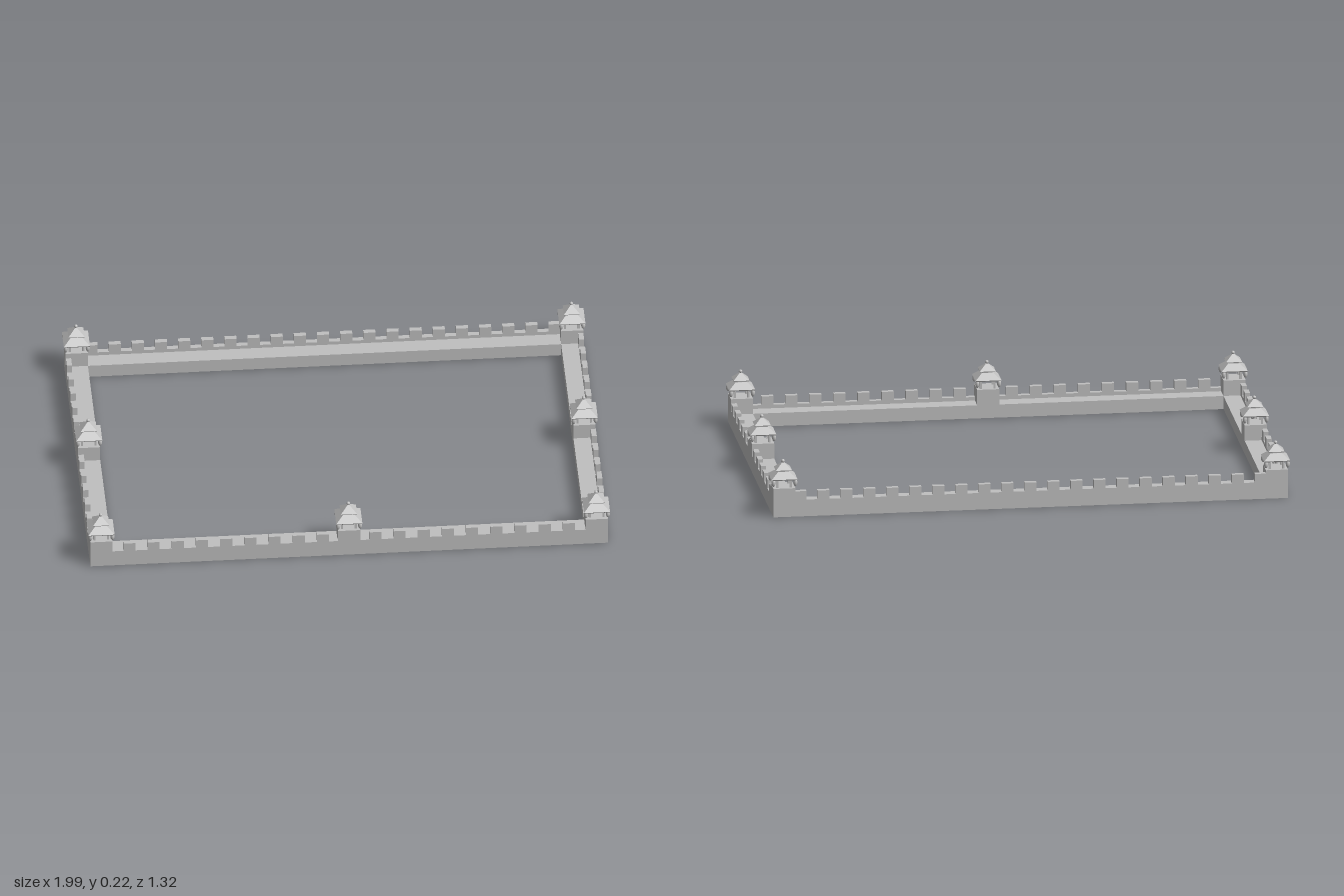
import * as THREE from 'three';

const X = 0.947, Z = 0.609;   // wall centre lines
const W = 0.085;              // wall thickness
const WALK = 0.052, SILL = 0.066, TOP = 0.1, BLOCK = 0.113;
const PARAPET = 0.02, MERLON = 0.046;

export function createModel() {
  const stone = new THREE.MeshStandardMaterial({ color: 0xc0c0c0 });
  stone.name = 'stone grey';
  const model = new THREE.Group();
  model.name = 'fortressWall';

  const add = (parent, name, geometry, x, y, z) => {
    const mesh = new THREE.Mesh(geometry, stone);
    mesh.name = name;
    mesh.position.set(x, y, z);
    parent.add(mesh);
    return mesh;
  };
  const box = (parent, name, w, h, d, x, y0, z) =>
    add(parent, name, new THREE.BoxGeometry(w, h, d), x, y0 + h / 2, z);

  // square frustum with flat sides, given by half widths
  const frustum = (parent, name, top, bottom, h, y0) => {
    const g = new THREE.CylinderGeometry(top * Math.SQRT2, bottom * Math.SQRT2, h, 4);
    g.rotateY(Math.PI / 4);
    const flat = g.toNonIndexed();
    flat.computeVertexNormals();
    return add(parent, name, flat, 0, y0 + h / 2, 0);
  };

  // one wall run along local x, with its outer face towards local +z
  function wall(name, length, merlons) {
    const g = new THREE.Group();
    g.name = name;
    const outer = W / 2 - PARAPET / 2;
    box(g, 'wallBody', length, WALK, W, 0, 0, 0);
    box(g, 'parapet', length, SILL - WALK, PARAPET, 0, WALK, outer);
    for (const x of merlons) box(g, 'merlon', MERLON, TOP - SILL, PARAPET, x, SILL, outer);
    model.add(g);
    return g;
  }

  const mirrored = (start, step, n, shift = 0) => {
    const list = [];
    for (let i = 0; i < n; i++) list.push(start + step * i + shift, -start - step * i + shift);
    return list;
  };

  const longRun = 2 * X + W, shortRun = 2 * Z - W;
  wall('frontWall', longRun, mirrored(0.1, 0.0925, 9)).position.z = Z;
  const back = wall('backWall', longRun, [0, ...mirrored(0.0885, 0.0885, 10)]);
  back.position.z = -Z;
  back.rotation.y = Math.PI;
  for (const s of [-1, 1]) {
    const side = wall(s > 0 ? 'leftWall' : 'rightWall', shortRun, mirrored(0.083, 0.0915, 6, 0.008));
    side.position.x = s * X;
    side.rotation.y = s * Math.PI / 2;
  }

  // watchtower: solid base, open pavilion, two stacked roofs
  function tower(name, x, z) {
    const g = new THREE.Group();
    g.name = name;
    g.position.set(x, 0, z);
    box(g, 'towerBase', W, BLOCK - WALK, W, 0, WALK, 0);
    for (const sx of [-1, 1]) for (const sz of [-1, 1]) {
      box(g, 'post', 0.008, 0.036, 0.008, sx * 0.026, BLOCK, sz * 0.026);
      // ornament hanging from the eave corner
      const drop = add(g, 'eaveOrnament', new THREE.SphereGeometry(1, 10, 8), sx * 0.042, 0.136, sz * 0.042);
      drop.scale.set(0.008, 0.015, 0.008);
    }
    frustum(g, 'lowerEave', 0.05, 0.048, 0.004, 0.146);
    frustum(g, 'lowerRoof', 0.022, 0.05, 0.023, 0.15);
    frustum(g, 'upperStorey', 0.02, 0.02, 0.008, 0.172);
    frustum(g, 'upperEave', 0.031, 0.03, 0.003, 0.178);
    frustum(g, 'upperRoof', 0.003, 0.031, 0.025, 0.181);
    add(g, 'finial', new THREE.SphereGeometry(0.007, 10, 8), 0, 0.211, 0);
    model.add(g);
  }

  for (const s of [-1, 1]) {
    for (const t of [-1, 1]) tower('cornerTower', s * X, t * Z);
    tower('sideTower', s * X, 0);
  }
  tower('frontTower', 0, Z);

  return model;
}
